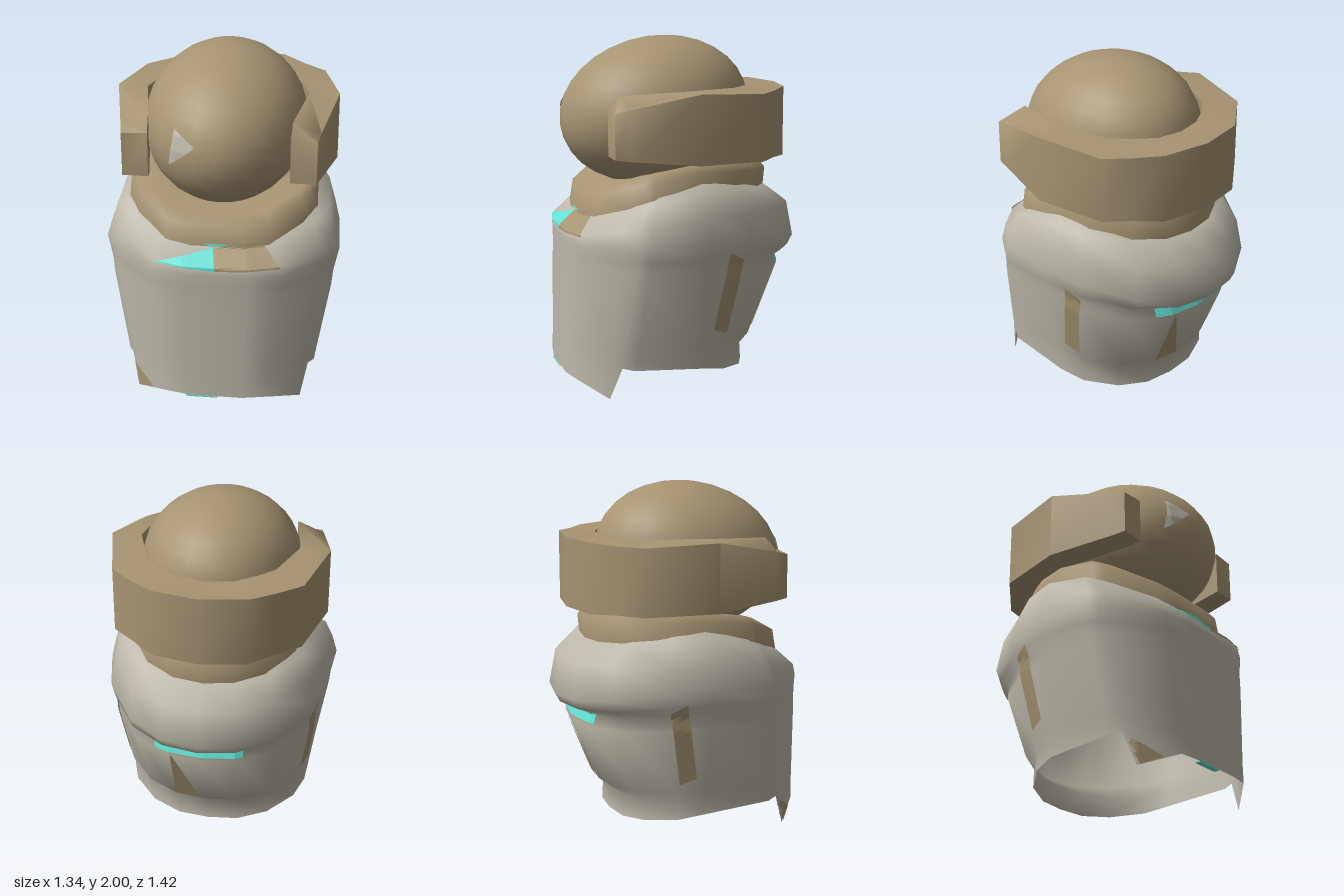
import * as THREE from 'three';
import { toCreasedNormals } from 'three/addons/utils/BufferGeometryUtils.js';

const mat = (name, color, side = THREE.FrontSide) => {
  const m = new THREE.MeshStandardMaterial({ color, side });
  m.name = name;
  return m;
};

function buildGeometry(positions, index, crease) {
  const g = new THREE.BufferGeometry();
  g.setAttribute('position', new THREE.Float32BufferAttribute(positions, 3));
  g.setIndex(index);
  return toCreasedNormals(g, crease);
}

// Half plan of the torso, front to back: x fraction, z fraction
const PLAN = [
  [0, 1], [0.28, 1], [0.54, 0.95], [0.87, 0.67], [0.94, 0.57], [1, 0.48],
  [0.98, 0], [0.89, -0.37], [0.63, -0.76], [0.32, -0.95], [0, -1],
];
const RING = [...PLAN, ...PLAN.slice(1, -1).reverse().map(([x, z]) => [-x, z])];

// Open loft from top to bottom;
// row = [half width, front z, back z, front y, side y, back y, squareness of the front corners]
function loft(rows, power, hemY) {
  const n = RING.length, pos = [], idx = [];
  rows.forEach(([w, zf, zb, yf, ys, yb, square = 0], r) => {
    RING.forEach(([u, t], c) => {
      const z = t > 0 ? (t + square * t * (1 - t)) * zf : -t * zb;
      let y = ys + ((t > 0 ? yf : yb) - ys) * Math.pow(Math.abs(t), power);
      if (hemY && r === rows.length - 1) y = hemY[Math.min(c, n - c)];
      pos.push(u * w, y, z);
    });
  });
  for (let r = 0; r < rows.length - 1; r++) {
    for (let c = 0; c < n; c++) {
      const d = (c + 1) % n, a = r * n, b = a + n;
      idx.push(a + c, b + c, b + d, a + c, b + d, a + d);
    }
  }
  return buildGeometry(pos, idx, 2);
}

// Horseshoe band; section = [outer x, outer z, inner x, inner z, low y, outer high y, inner high y]
function bandGeometry() {
  const half = [
    [0.535, 0.5, 0.39, 0.5, 1.37, 1.62, 1.63],
    [0.55, 0.42, 0.395, 0.43, 1.36, 1.64, 1.7],
    [0.63, 0.04, 0.46, 0.05, 1.33, 1.72, 1.72],
    [0.53, -0.36, 0.36, -0.24, 1.32, 1.7, 1.72],
    [0.4, -0.47, 0.27, -0.33, 1.32, 1.7, 1.72],
    [0.27, -0.58, 0.15, -0.4, 1.31, 1.71, 1.71],
    [0, -0.63, 0, -0.43, 1.31, 1.71, 1.71],
  ];
  const all = [...half, ...half.slice(0, -1).reverse()
    .map(([a, b, c, ...rest]) => [-a, b, -c, ...rest])];
  const pos = [], idx = [];
  for (const [ox, oz, ix, iz, lo, oh, ih] of all) {
    pos.push(ox, lo, oz, ox, oh, oz, ix, ih, iz, ix, lo, iz);
  }
  for (let i = 0; i < all.length - 1; i++) {
    for (let k = 0; k < 4; k++) {
      const a = i * 4 + k, d = i * 4 + (k + 1) % 4;
      idx.push(a, a + 4, d + 4, a, d + 4, d);
    }
  }
  const e = (all.length - 1) * 4;
  idx.push(0, 1, 2, 0, 2, 3, e, e + 2, e + 1, e, e + 3, e + 2);
  return buildGeometry(pos, idx, 1.2);
}

// Thin patch: a convex outline (counterclockwise) projected onto the near side of the targets
function patchGeometry(points, axis, sign, targets, lift = 0.008) {
  const ray = new THREE.Raycaster(), pos = [], N = 12;
  const dir = axis === 'z' ? new THREE.Vector3(0, 0, -sign) : new THREE.Vector3(-sign, 0, 0);
  const flip = (axis === 'z') !== (sign > 0);
  const project = (u, v) => {
    const from = axis === 'z' ? new THREE.Vector3(u, v, 5 * sign) : new THREE.Vector3(5 * sign, v, u);
    ray.set(from, dir);
    ray.far = 5;
    const hit = ray.intersectObjects(targets)[0];
    return hit ? hit.point.addScaledVector(dir, -lift) : null;
  };
  for (let p = 1; p < points.length - 1; p++) {
    const [A, B, C] = [points[0], points[p], points[p + 1]];
    const at = (i, j) => project(...[0, 1].map(
      (k) => A[k] + (B[k] - A[k]) * i / N + (C[k] - A[k]) * j / N));
    const tri = (a, b, c) => {
      if (!a || !b || !c) return;
      for (const q of flip ? [a, c, b] : [a, b, c]) pos.push(q.x, q.y, q.z);
    };
    for (let i = 0; i < N; i++) {
      for (let j = 0; j < N - i; j++) {
        tri(at(i, j), at(i + 1, j), at(i, j + 1));
        if (i + j < N - 1) tri(at(i + 1, j), at(i + 1, j + 1), at(i, j + 1));
      }
    }
  }
  const g = new THREE.BufferGeometry();
  g.setAttribute('position', new THREE.Float32BufferAttribute(pos, 3));
  g.computeVertexNormals();
  return g;
}

export function createModel() {
  const group = new THREE.Group();
  const tan = mat('tan', 0xa69472, THREE.DoubleSide);
  const grey = mat('warmGrey', 0xbcb7a9, THREE.DoubleSide);
  const cyan = mat('cyan', 0x62e0d2);
  const add = (name, geometry, material) => {
    const m = new THREE.Mesh(geometry, material);
    m.name = name;
    group.add(m);
    return m;
  };

  // Hollow torso, open at the hem, with a rolled shoulder and a bulging back pouch
  const torso = add('torso', loft([
    [0.48, 0.5, -0.44, 1.04, 1.24, 1.14],
    [0.6, 0.58, -0.53, 1.01, 1.18, 1.12],
    [0.64, 0.685, -0.67, 0.92, 1.04, 1.02],
    [0.67, 0.69, -0.71, 0.87, 0.91, 0.81],
    [0.653, 0.69, -0.68, 0.8, 0.82, 0.755],
    [0.64, 0.69, -0.585, 0.74, 0.76, 0.72, 0.05],
    [0.633, 0.692, -0.61, 0.66, 0.68, 0.65, 0.1],
    [0.57, 0.7, -0.45, 0.27, 0.32, 0.26, 0.3],
    [0.557, 0.702, -0.375, 0.2, 0.24, 0.2, 0.33],
    [0.55, 0.705, -0.385, 0.08, 0.16, 0.07, 0.36],
  ], 1.5, [0.08, 0.08, 0.085, 0.005, 0.19, 0.18, 0.15, 0.12, 0.09, 0.07, 0.07]), grey);

  // Neck collar
  const collar = add('collar', loft([
    [0.25, 0.25, -0.2, 1.21, 1.26, 1.26],
    [0.5, 0.5, -0.48, 1.16, 1.32, 1.3],
    [0.53, 0.57, -0.535, 1.12, 1.27, 1.22],
    [0.54, 0.59, -0.52, 1.0, 1.14, 1.08],
  ], 2), tan);

  // Head, leaning back slightly, and the horseshoe band around it
  const headShape = new THREE.SphereGeometry(1, 24, 16);
  headShape.scale(0.46, 0.425, 0.55);
  headShape.applyMatrix4(new THREE.Matrix4().set(
    1, 0, 0, 0,
    0, 1, 0, 1.575,
    0, -0.15, 1, 0.12,
    0, 0, 0, 1));
  const head = add('head', headShape, tan);
  add('headBand', bandGeometry(), tan);

  // Painted patches on the front
  const front = [torso, collar];
  add('chestMark', patchGeometry([[-0.35, 0.925], [0, 0.9], [-0.02, 1]], 'z', 1, front), cyan);
  add('neckMark', patchGeometry([[-0.08, 1.02], [-0.02, 1], [0.08, 1.02]], 'z', 1, front), cyan);
  add('chestPanel', patchGeometry(
    [[0, 0.9], [0.36, 0.92], [0.24, 1.04], [-0.02, 1]], 'z', 1, front), tan);
  add('faceMark', patchGeometry([[-0.23, 1.69], [-0.265, 1.48], [-0.11, 1.62]], 'z', 1, [head]), grey);
  const hem = new THREE.BoxGeometry(0.18, 0.008, 0.03);
  hem.translate(-0.08, 0.076, 0.693);
  add('hemMark', hem, cyan);

  // Hem corner, coloured outside and inside
  for (const lift of [0.006, -0.006]) {
    add(lift > 0 ? 'hemCorner' : 'hemCornerLining', patchGeometry(
      [[-0.545, 0.185], [-0.478, 0.006], [-0.37, 0.06]], 'z', 1, [torso], lift), tan);
  }

  // Side straps and pouch markings
  for (const s of [1, -1]) {
    add(s > 0 ? 'leftStrap' : 'rightStrap', patchGeometry(
      [[-0.06, 0.38], [-0.14, 0.83], [-0.23, 0.78], [-0.15, 0.34]], 'x', s, [torso]), tan);
  }
  add('pouchMark', patchGeometry([[0.03, 0.27], [0.18, 0.27], [0.18, 0.68]], 'z', -1, [torso]), tan);
  add('pouchStripe', patchGeometry(
    [[-0.24, 0.67], [0.28, 0.67], [0.28, 0.73], [-0.24, 0.73]], 'z', -1, [torso]), cyan);

  return group;
}
